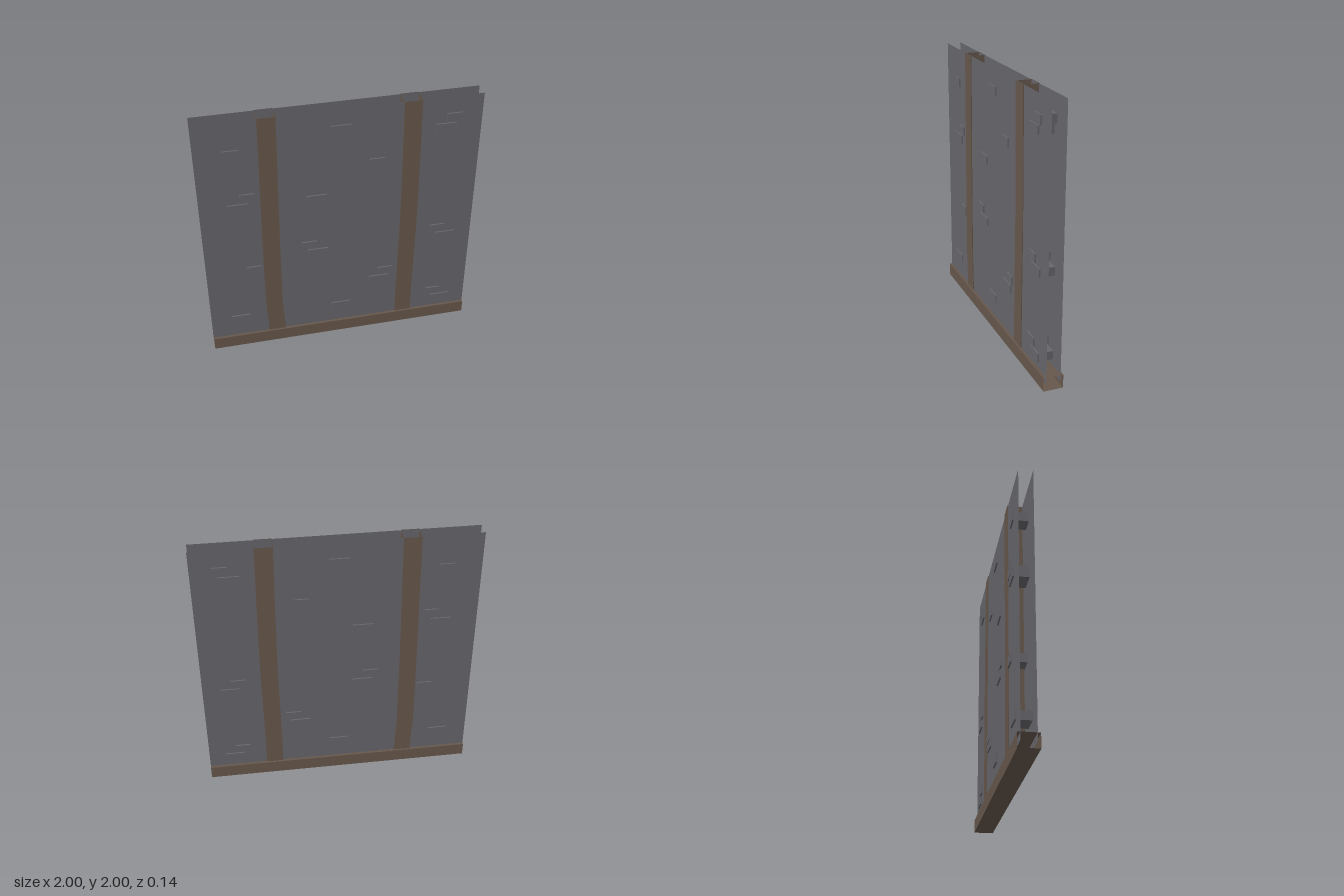
import * as THREE from 'three';

// Open-ended square tube: each ring is four corners [x, y, z], flat shaded by unsharing corners
function openTube(rings) {
  const pos = [];
  for (let r = 0; r < rings.length - 1; r++) {
    for (let i = 0; i < 4; i++) {
      const j = (i + 1) % 4;
      const a = rings[r][i], b = rings[r][j], c = rings[r + 1][j], d = rings[r + 1][i];
      pos.push(...a, ...b, ...c, ...a, ...c, ...d);
    }
  }
  const g = new THREE.BufferGeometry();
  g.setAttribute('position', new THREE.Float32BufferAttribute(pos, 3));
  g.computeVertexNormals();
  return g;
}

export function createModel() {
  const group = new THREE.Group();
  const stone = new THREE.MeshStandardMaterial({ name: 'greyStone', color: 0x66656b, side: THREE.DoubleSide });
  const wood = new THREE.MeshStandardMaterial({ name: 'brownWood', color: 0x66574b, side: THREE.DoubleSide });

  const add = (name, geometry, material, x = 0, y = 0, z = 0) => {
    const mesh = new THREE.Mesh(geometry, material);
    mesh.name = name;
    mesh.position.set(x, y, z);
    group.add(mesh);
    return mesh;
  };

  // Two thin wall sheets with a gap between them
  const sheet = new THREE.PlaneGeometry(2, 1.95);
  add('frontWall', sheet, stone, 0, 1.025, 0.052);
  add('backWall', sheet, stone, 0, 1.025, -0.052).rotation.y = Math.PI;

  // Base beam, open at both ends
  const d = 0.072;
  const baseRing = (x) => [[x, 0, -d], [x, 0.1, -d], [x, 0.1, d], [x, 0, d]];
  add('baseBeam', openTube([baseRing(-1), baseRing(1)]), wood);

  // Slightly crooked upright posts, open at the top: [centre x, y]
  const w = 0.063, t = 0.058;
  const post = (path) => openTube(path.map(([x, y]) =>
    [[x - w, y, t], [x + w, y, t], [x + w, y, -t], [x - w, y, -t]]));
  add('rightPost', post([[-0.502, 0.08], [-0.517, 0.4], [-0.514, 1], [-0.506, 1.6], [-0.502, 2]]), wood);
  add('leftPost', post([[0.5, 0.08], [0.501, 0.4], [0.509, 1], [0.505, 1.6], [0.5, 2]]), wood);

  // Bricks running through the wall, proud on both faces
  const longBrick = new THREE.BoxGeometry(0.147, 0.063, 0.126);
  const shortBrick = new THREE.BoxGeometry(0.109, 0.065, 0.126);
  const longSpots = [
    [0, 1.847], [0.742, 1.765], [-0.734, 1.302], [-0.173, 1.297], [-0.173, 0.813],
    [0.8, 0.813], [0.293, 0.47], [-0.777, 0.265], [0, 0.254], [0.8, 0.186],
  ];
  const shortSpots = [
    [-0.754, 1.746], [0.798, 1.84], [0.257, 1.545], [-0.663, 1.38], [-0.235, 0.888],
    [0.738, 0.888], [-0.647, 0.727], [0.342, 0.545], [0.738, 0.261],
  ];
  for (const [x, y] of longSpots) add('longBrick', longBrick, stone, x, y);
  for (const [x, y] of shortSpots) add('shortBrick', shortBrick, stone, x, y);

  return group;
}
